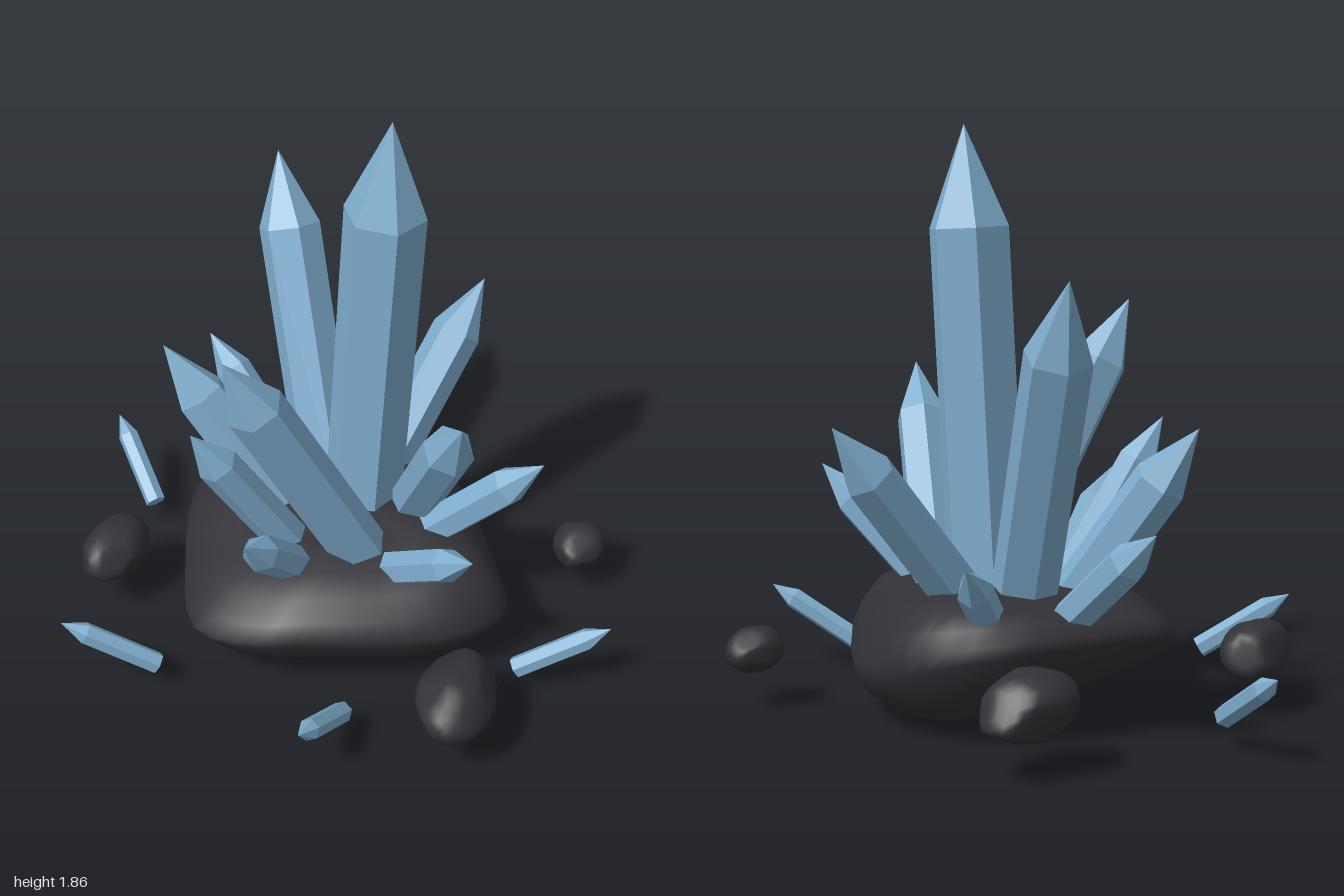
import * as THREE from 'three';
import { mergeVertices } from 'three/addons/utils/BufferGeometryUtils.js';

const crystalMat = new THREE.MeshStandardMaterial({ color: 0x7fadce });
crystalMat.name = 'crystal blue';
const stoneMat = new THREE.MeshStandardMaterial({ color: 0x323137 });
stoneMat.name = 'dark stone';

function seeded(seed) {
  let s = seed;
  return () => (s = (s * 16807) % 2147483647) / 2147483647;
}

// Six-sided pointed prism from base to tip, faceted, one edge turned toward its lean
function crystal(name, base, tip, radius) {
  const a = new THREE.Vector3(...base);
  const dir = new THREE.Vector3(...tip).sub(a);
  const length = dir.length();
  const profile = [
    [0, 0], [radius, 0], [radius, length - radius * 2.4], [0, length],
  ].map(([x, y]) => new THREE.Vector2(x, y));
  const geo = new THREE.LatheGeometry(profile, 6, Math.PI / 2).toNonIndexed();
  geo.computeVertexNormals();
  const mesh = new THREE.Mesh(geo, crystalMat);
  mesh.name = name;
  mesh.position.copy(a);
  mesh.rotation.set(0, Math.atan2(-dir.z, dir.x), -Math.acos(dir.y / length), 'YZX');
  return mesh;
}

// Broad base rock: an irregular outline lofted through scaled levels
function baseRock() {
  const outline = [
    [0, -0.63], [0.24, -0.55], [0.43, -0.37], [0.56, -0.19], [0.64, -0.03], [0.56, 0.16], [0.35, 0.32],
    [0.14, 0.43], [-0.02, 0.49], [-0.26, 0.47], [-0.42, 0.24], [-0.53, -0.05], [-0.45, -0.3], [-0.24, -0.56],
  ];
  const curve = new THREE.CatmullRomCurve3(
    outline.map(([x, z]) => new THREE.Vector3(x, 0, z)), true, 'centripetal');
  // height, x scale, z scale, x tilt, z tilt, saddle: a keel below, a rim, then a sloping crown
  const levels = [
    [0.005, 0, 0, 0, 0, 0], [0.018, 0.14, 0.4, 0.02, 0, 0], [0.05, 0.38, 0.64, 0.06, 0, 0.06],
    [0.1, 0.66, 0.82, 0.08, 0, 0.15], [0.17, 0.89, 0.94, 0.08, 0.01, 0.28], [0.23, 0.98, 0.99, 0.08, 0.02, 0.38],
    [0.265, 1, 1, 0.06, 0.04, 0.4], [0.32, 0.93, 0.94, 0.03, 0.05, 0.3], [0.375, 0.81, 0.82, 0, 0.05, 0.17],
    [0.41, 0.66, 0.66, -0.01, 0.04, 0.08], [0.435, 0.42, 0.42, -0.02, 0.03, 0], [0.445, 0, 0, 0, 0, 0],
  ];
  const n = 42, cx = 0.05, cz = -0.1;
  const pos = [], index = [];
  levels.forEach(([y, sx, sz, tiltX, tiltZ, saddle]) => {
    for (let i = 0; i < n; i++) {
      const p = curve.getPoint(i / n);
      const a = (i / n) * Math.PI * 2;
      pos.push(cx + (p.x - cx) * sx,
        y - tiltX * p.x - tiltZ * p.z + saddle * p.x * p.z + 0.012 * sx * Math.sin(a * 4 + 1),
        cz + (p.z - cz) * sz);
    }
  });
  for (let l = 0; l < levels.length - 1; l++) {
    for (let i = 0; i < n; i++) {
      const j = (i + 1) % n;
      const a = l * n + i, b = l * n + j, c = a + n, d = b + n;
      index.push(a, c, b, b, c, d);
    }
  }
  const geo = new THREE.BufferGeometry();
  geo.setAttribute('position', new THREE.Float32BufferAttribute(pos, 3));
  geo.setIndex(index);
  geo.computeVertexNormals();
  const mesh = new THREE.Mesh(geo, stoneMat);
  mesh.name = 'baseRock';
  return mesh;
}

// Loose stone: a ball chipped by seeded planes, then fitted to its size
function looseStone(name, centre, size, turn, seed) {
  const rand = seeded(seed);
  const ball = new THREE.IcosahedronGeometry(1, 4);
  ball.deleteAttribute('normal');
  ball.deleteAttribute('uv');
  const geo = mergeVertices(ball, 1e-4);
  const chips = Array.from({ length: 11 }, () => ({
    n: new THREE.Vector3(rand() - 0.5, rand() - 0.5, rand() - 0.5).normalize(),
    d: 0.78 + rand() * 0.13,
  }));
  const p = geo.attributes.position, v = new THREE.Vector3();
  for (let i = 0; i < p.count; i++) {
    v.fromBufferAttribute(p, i);
    for (const { n, d } of chips) {
      const over = v.dot(n) - d;
      if (over > 0) v.addScaledVector(n, -over * 0.9);
    }
    p.setXYZ(i, v.x, v.y, v.z);
  }
  geo.center();
  geo.computeBoundingBox();
  const box = geo.boundingBox.getSize(new THREE.Vector3());
  geo.scale(size[0] / box.x, size[1] / box.y, size[2] / box.z);
  geo.computeVertexNormals();
  const mesh = new THREE.Mesh(geo, stoneMat);
  mesh.name = name;
  mesh.position.set(...centre);
  mesh.rotation.set(...turn);
  return mesh;
}

export function createModel() {
  const model = new THREE.Group();
  model.name = 'crystalCluster';
  model.add(baseRock());

  // Main cluster: base, tip, radius
  const cluster = new THREE.Group();
  cluster.name = 'cluster';
  [
    ['mainCrystal', [0.05, 0.3, -0.16], [0.127, 1.865, -0.175], 0.132],
    ['tallBackCrystal', [-0.08, 0.32, -0.19], [-0.45, 1.425, -0.545], 0.105],
    ['tallFrontCrystal', [0.165, 0.36, 0.06], [-0.14, 1.295, 0.43], 0.094],
    ['leftCrystal', [0.2, 0.36, -0.22], [0.525, 1.075, 0.155], 0.084],
    ['backCrystal', [0.04, 0.36, -0.28], [0.225, 0.985, -0.755], 0.085],
    ['rightCrystal', [-0.17, 0.35, -0.04], [-0.595, 0.945, 0.015], 0.088],
    ['frontRightCrystal', [-0.07, 0.35, 0.11], [-0.3, 0.92, 0.365], 0.069],
    ['lowRightCrystal', [-0.27, 0.34, -0.28], [-0.665, 0.695, -0.415], 0.063],
    ['lowFrontCrystal', [-0.015, 0.34, 0.18], [-0.02, 0.705, 0.545], 0.061],
    ['lowLeftCrystal', [0.27, 0.35, -0.1], [0.685, 0.76, -0.17], 0.066],
    ['lowFrontLeftCrystal', [0.26, 0.36, 0.09], [0.615, 0.645, 0.24], 0.058],
    ['lowBackCrystal', [-0.11, 0.34, -0.4], [-0.2, 0.595, -0.705], 0.056],
  ].forEach((c) => cluster.add(crystal(...c)));
  model.add(cluster);

  // Shards floating around the rock, tilted outward
  [
    [[-0.755, 0.1, -0.125], [-1, 0.29, -0.305]],
    [[-0.34, 0.1, 0.58], [-0.61, 0.29, 0.72]],
    [[0.3, 0.1, 0.51], [0.3, 0.29, 0.82]],
    [[0.725, 0.1, 0.08], [1, 0.29, -0.035]],
  ].forEach(([base, tip], i) => model.add(crystal('shard' + (i + 1), base, tip, 0.036)));

  // Loose stones
  [
    ['backStone', [-0.385, 0.215, -0.665], [0.245, 0.21, 0.33], [-0.2, -0.3, 0], 11],
    ['smallStone', [0.73, 0.195, -0.485], [0.175, 0.15, 0.22], [0, 0.1, 0], 57],
    ['rightStone', [-0.685, 0.21, 0.265], [0.2, 0.2, 0.3], [0, 0, 0.1], 203],
    ['frontStone', [0.645, 0.225, 0.4], [0.255, 0.24, 0.385], [-0.12, 0.2, -0.15], 419],
  ].forEach((s) => model.add(looseStone(...s)));

  return model;
}
